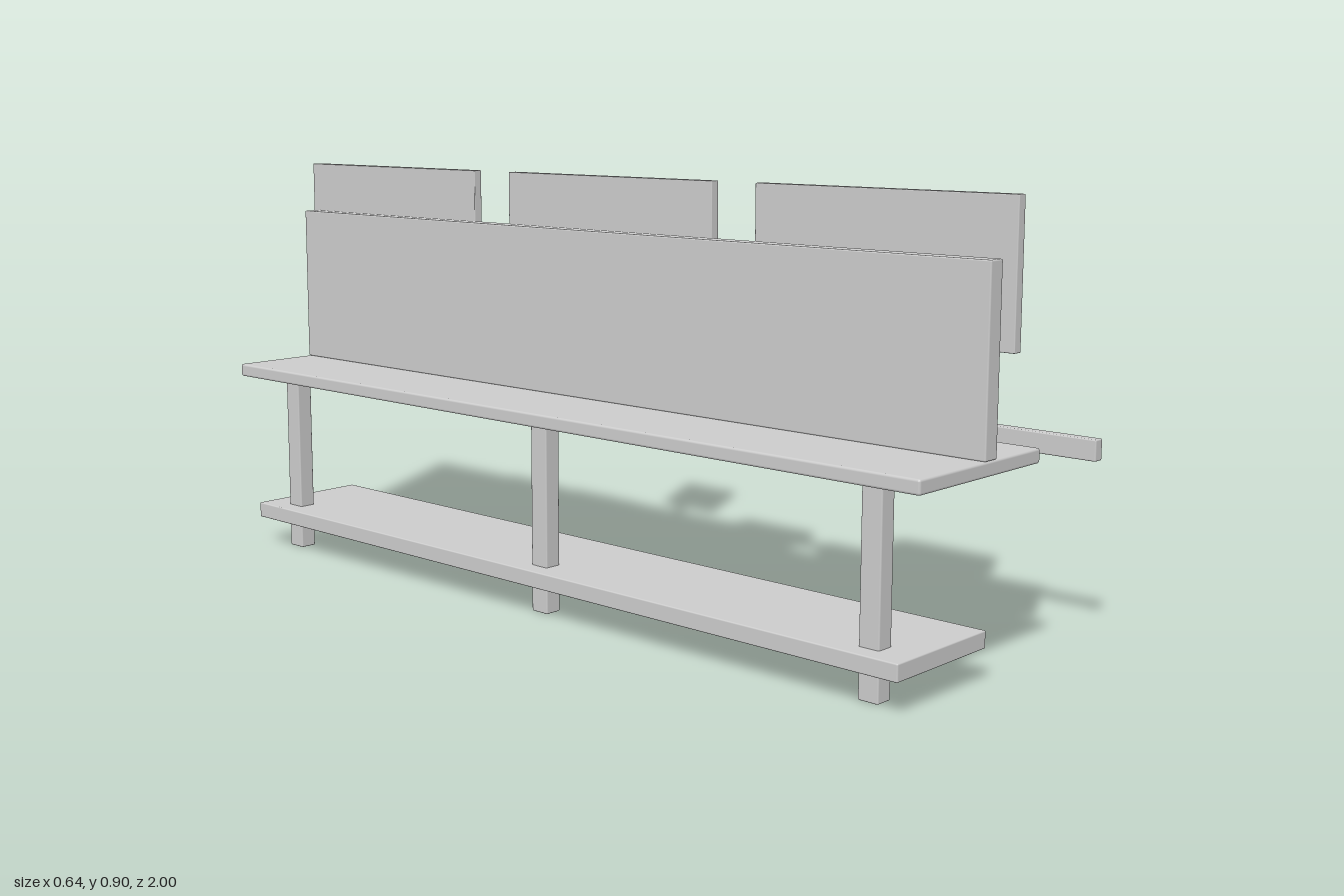
import * as THREE from 'three';
import { RoundedBoxGeometry } from 'three/addons/geometries/RoundedBoxGeometry.js';

const material = new THREE.MeshStandardMaterial({ color: 0xcccccc });

export function createModel() {
  const root = new THREE.Group();

  // Box given by its extents on each axis, with lightly eased edges
  const block = (name, [x0, x1], [y0, y1], [z0, z1], r = 0.003) => {
    const size = [x1 - x0, y1 - y0, z1 - z0];
    const radius = Math.min(r, Math.min(...size) * 0.3);
    const mesh = new THREE.Mesh(new RoundedBoxGeometry(...size, 2, radius), material);
    mesh.position.set((x0 + x1) / 2, (y0 + y1) / 2, (z0 + z1) / 2);
    mesh.name = name;
    root.add(mesh);
    return mesh;
  };
  const around = (c, width) => [c - width / 2, c + width / 2];

  // Bench: counter, lower shelf, legs, back wall and front rail
  block('counterTop', [-0.32, 0.068], [0.405, 0.434], [-0.978, 0.976], 0.005);
  block('lowerShelf', [-0.312, -0.031], [0.065, 0.1], [-0.93, 0.934]);
  for (const z of [-0.84, 0, 0.844]) block('leg', [-0.273, -0.235], [0, 0.401], around(z, 0.045));
  block('backWall', [-0.118, -0.08], [0.434, 0.792], [-0.978, 0.976]);
  block('frontRail', [0.272, 0.297], [0.377, 0.42], [-0.978, 0.976]);

  // Three wall boards, each with four upright bars
  for (const z of [-0.704, 0, 0.704]) {
    block('wallBoard', [-0.073, -0.052], [0.625, 0.905], around(z, 0.592), 0.002);
    for (const i of [-1.5, -0.5, 0.5, 1.5]) {
      block('boardBar', [-0.053, -0.036], [0.69, 0.842], around(z + i * 0.137, 0.037), 0.002);
    }
  }

  // Large cabinet with its door panel
  block('largeCabinet', [0.02, 0.319], [0.44, 0.618], [0.407, 0.681]);
  block('cabinetDoor', [0.004, 0.02], [0.51, 0.618], [0.438, 0.65]);

  // Middle box with vent slats
  block('ventBox', [0.03, 0.26], [0.44, 0.567], [-0.017, 0.198]);
  for (const y of [0.468, 0.505, 0.542]) block('ventSlat', [0.259, 0.267], around(y, 0.012), [0.02, 0.165]);

  // Low boxes at the far end
  block('lowBox', [0.006, 0.238], [0.44, 0.53], [-0.592, -0.365]);
  block('flatTray', [0.02, 0.278], [0.44, 0.491], [-0.888, -0.708]);

  // Upright display on a pole and base plate
  const zc = -0.228;
  block('displayBase', [0.17, 0.285], [0.437, 0.452], around(zc, 0.153));
  const pole = new THREE.Mesh(new THREE.CylinderGeometry(0.012, 0.012, 0.13, 20), material);
  pole.position.set(0.228, 0.51, zc);
  pole.name = 'displayPole';
  root.add(pole);
  block('displayBracket', [0.22, 0.265], [0.56, 0.58], around(zc, 0.03));
  block('displayBody', [0.261, 0.286], [0.551, 0.835], around(zc, 0.17), 0.007);
  block('displayScreen', [0.252, 0.262], [0.566, 0.823], around(zc, 0.15));
  for (let i = 0; i < 6; i++) {
    block('screenRow', [0.246, 0.253], around(0.633 + i * 0.03, 0.012), around(zc, 0.12));
  }

  return root;
}
